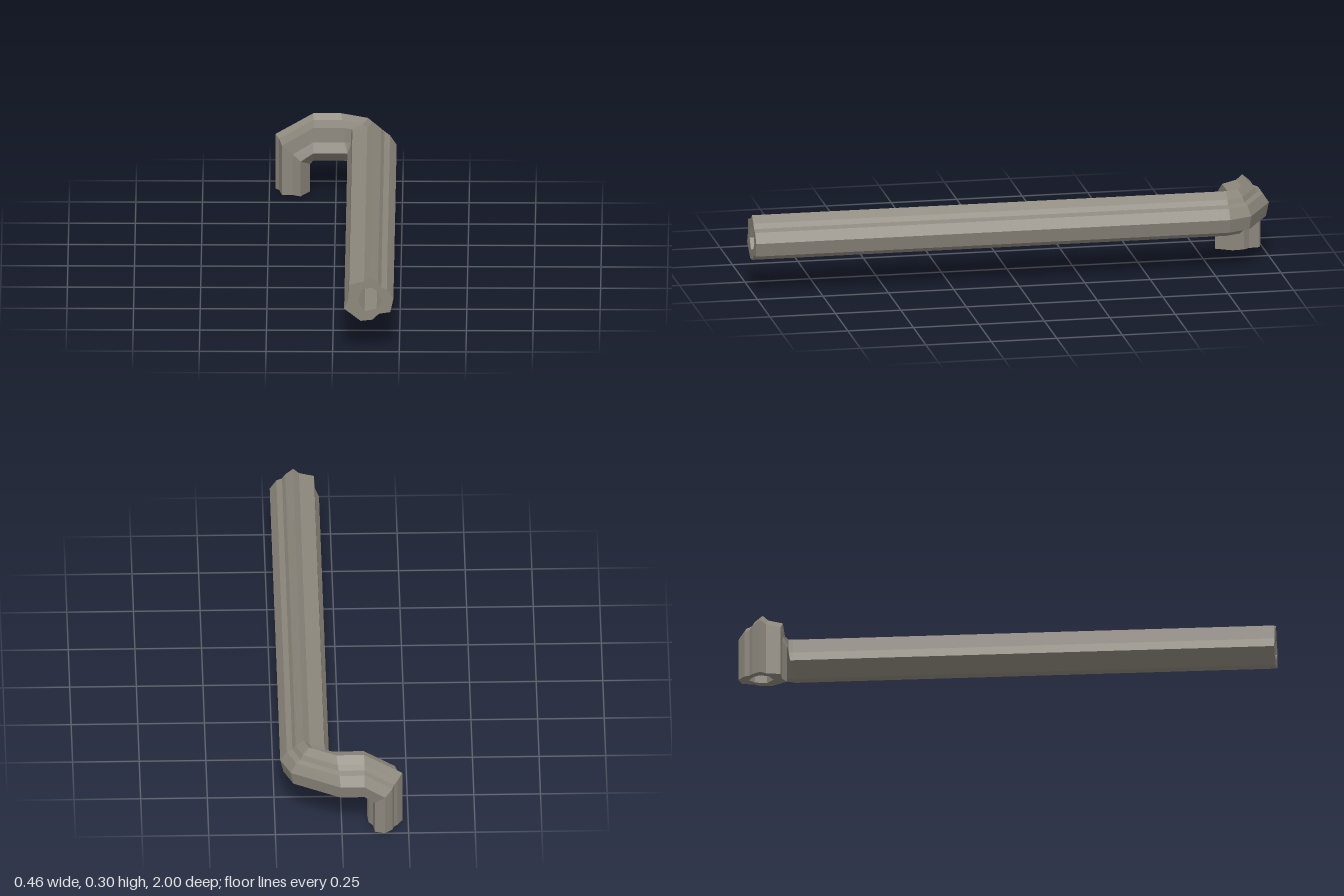
import * as THREE from 'three';

// Wavy pipe outline and bore, clockwise, in x/y of the open front end
const OUTER = [[0.14, 0.298], [0.17, 0.273], [0.182, 0.255], [0.203, 0.246], [0.228, 0.209],
  [0.216, 0.157], [0.173, 0.15], [0.15, 0.127], [0.105, 0.122], [0.043, 0.17],
  [0.059, 0.209], [0.062, 0.264], [0.118, 0.278]];
const BORE = [[0.145, 0.254], [0.168, 0.238], [0.188, 0.2], [0.165, 0.17], [0.12, 0.16],
  [0.093, 0.198], [0.11, 0.244]];

// Normalise a profile to the unit square of a section
const unit = (pts) => pts.map(([x, y]) => [(x - 0.043) / 0.185, (y - 0.122) / 0.176]);

// Sections along the pipe: inner corner, width vector, height vector
const SECTIONS = [
  [[0.043, 0.122, 1], [0.185, 0, 0], [0, 0.176, 0]],
  [[0.043, 0.122, -0.81], [0.185, 0, 0], [0, 0.176, 0]],
  [[0.043, 0.122, -0.82], [0.147, 0, -0.077], [0, 0.176, 0]],
  [[0.035, 0.122, -0.82], [-0.03, 0, -0.18], [0, 0.176, 0]],
  [[-0.085, 0.122, -0.82], [0, 0, -0.18], [0, 0.176, 0]],
  [[-0.097, 0.108, -0.82], [0, 0, -0.18], [-0.131, 0.107, 0]],
  [[-0.097, 0, -0.82], [0, 0, -0.18], [-0.131, 0, 0]],
];

const place = ([o, du, dv], u, v) => o.map((c, k) => c + du[k] * u + dv[k] * v);

// Skin a profile through all sections; inward turns the faces to the bore
function skin(profile, inward) {
  const n = profile.length;
  const position = [];
  const index = [];
  SECTIONS.forEach((s) => profile.forEach(([u, v]) => position.push(...place(s, u, v))));
  for (let s = 0; s < SECTIONS.length - 1; s++) {
    for (let i = 0; i < n; i++) {
      const a = s * n + i, b = s * n + (i + 1) % n;
      const c = a + n, d = b + n;
      if (inward) index.push(a, d, b, a, c, d);
      else index.push(a, b, d, a, d, c);
    }
  }
  const geometry = new THREE.BufferGeometry();
  geometry.setAttribute('position', new THREE.Float32BufferAttribute(position, 3));
  geometry.setIndex(index);
  geometry.computeVertexNormals();
  return geometry;
}

// Flat rim between outline and bore at one section
function rim(section, outer, bore) {
  const vectors = (pts) => pts.map(([u, v]) => new THREE.Vector2(u, v));
  const shape = new THREE.Shape(vectors(outer));
  shape.holes.push(new THREE.Path(vectors(bore)));
  const geometry = new THREE.ShapeGeometry(shape);
  const p = geometry.attributes.position;
  for (let i = 0; i < p.count; i++) p.setXYZ(i, ...place(section, p.getX(i), p.getY(i)));
  geometry.computeVertexNormals();
  return geometry;
}

export function createModel() {
  const group = new THREE.Group();
  group.name = 'bentPipe';
  const metal = new THREE.MeshStandardMaterial({ color: 0x8c877c, flatShading: true });
  const rimMetal = metal.clone();
  rimMetal.side = THREE.DoubleSide;
  const add = (name, geometry, material) => {
    const mesh = new THREE.Mesh(geometry, material);
    mesh.name = name;
    group.add(mesh);
  };

  const outer = unit(OUTER);
  const bore = unit(BORE);
  add('pipeWall', skin(outer, false), metal);
  add('pipeBore', skin(bore, true), metal);
  add('frontRim', rim(SECTIONS[0], outer, bore), rimMetal);
  add('bottomRim', rim(SECTIONS[SECTIONS.length - 1], outer, bore), rimMetal);
  return group;
}
